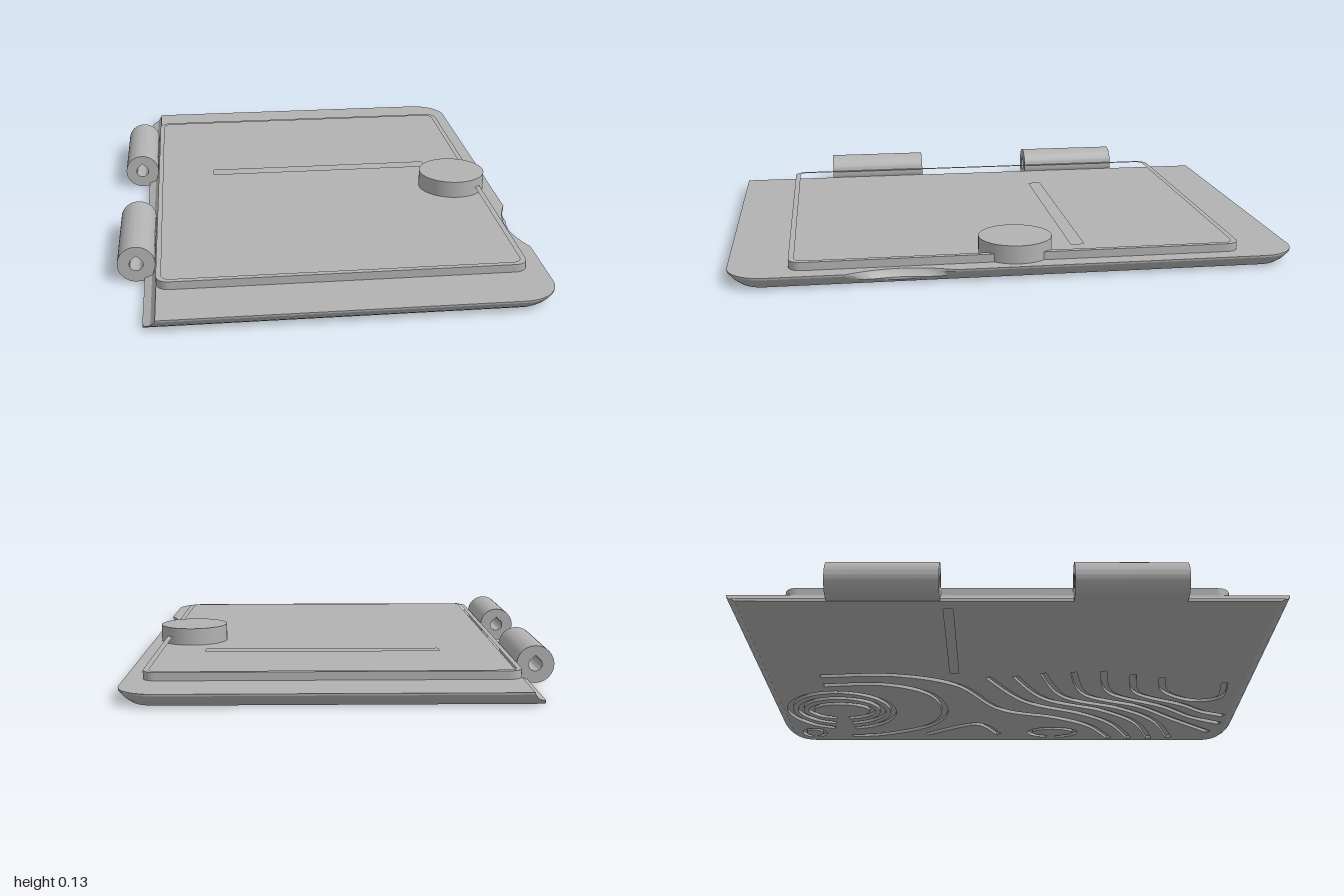
import * as THREE from 'three';
import { toCreasedNormals } from 'three/addons/utils/BufferGeometryUtils.js';

// Plan outline [x, z] for an edge inset, a left edge and a finger notch depth
function outline(inset, left, notchX) {
  const X = 0.738 - inset, Z = 1 - inset, r = 0.13 - inset, pts = [[left, -Z]];
  for (let i = 0; i <= 10; i++) {
    const a = (i / 10) * Math.PI / 2;
    pts.push([X - r + r * Math.sin(a), -Z + r - r * Math.cos(a)]);
  }
  for (let i = 0; i <= 16; i++) {
    const t = i / 8 - 1;
    pts.push([Math.min(X, notchX + 0.043 * t * t), 0.415 + 0.185 * t]);
  }
  for (let i = 0; i <= 10; i++) {
    const a = (i / 10) * Math.PI / 2;
    pts.push([X - r + r * Math.cos(a), Z - r + r * Math.sin(a)]);
  }
  pts.push([left, Z]);
  return pts;
}

const toVec = (pts) => pts.map(([x, z]) => new THREE.Vector2(x, -z));
const toShape = (pts) => new THREE.Shape(toVec(pts));

function roundedRect(x0, x1, z0, z1, r) {
  const pts = [];
  [[x1 - r, z1 - r], [x0 + r, z1 - r], [x0 + r, z0 + r], [x1 - r, z0 + r]].forEach(([cx, cz], k) => {
    for (let i = 0; i <= 6; i++) {
      const a = (k + i / 6) * Math.PI / 2;
      pts.push([cx + r * Math.cos(a), cz + r * Math.sin(a)]);
    }
  });
  return pts;
}

// Extrude a plan shape upward from y0 to y1
function slab(pts, y0, y1, holes = []) {
  const shape = toShape(pts);
  holes.forEach((h) => shape.holes.push(new THREE.Path(toVec(h))));
  const g = new THREE.ExtrudeGeometry(shape, { depth: y1 - y0, bevelEnabled: false, curveSegments: 8 });
  return g.rotateX(-Math.PI / 2).translate(0, y0, 0);
}

// Closed outline of a constant-width groove along a smooth line
function groove(points, width = 0.026) {
  const curve = new THREE.SplineCurve(points.map(([x, z]) => new THREE.Vector2(x, z)));
  const n = points.length * 7, a = [], b = [];
  for (let i = 0; i <= n; i++) {
    const p = curve.getPoint(i / n), t = curve.getTangent(i / n);
    a.push([p.x - t.y * width / 2, p.y + t.x * width / 2]);
    b.unshift([p.x + t.y * width / 2, p.y - t.x * width / 2]);
  }
  return a.concat(b);
}

function ringGroove(cx, cz, rx, rz, width) {
  const pts = [];
  for (let i = 0; i <= 14; i++) {
    const a = 0.15 + (i / 14) * (Math.PI * 2 - 0.4);
    pts.push([cx + rx * Math.cos(a), cz + rz * Math.sin(a)]);
  }
  return groove(pts, width);
}

// Side wall skinned through outlines at rising heights
function loft(levels) {
  const pos = [], idx = [], n = levels[0].pts.length;
  levels.forEach(({ y, pts }) => pts.forEach(([x, z]) => pos.push(x, y, z)));
  for (let l = 0; l < levels.length - 1; l++) {
    for (let i = 0; i < n; i++) {
      const j = (i + 1) % n, a = l * n + i, b = l * n + j;
      idx.push(a, b + n, b, a, a + n, b + n);
    }
  }
  const g = new THREE.BufferGeometry();
  g.setAttribute('position', new THREE.Float32BufferAttribute(pos, 3));
  g.setIndex(idx);
  return toCreasedNormals(g, 0.5);
}

export function createModel() {
  const model = new THREE.Group();
  const grey = new THREE.MeshStandardMaterial({ color: 0xb2b2b2 });
  const add = (name, geo) => {
    const m = new THREE.Mesh(geo, grey);
    m.name = name;
    model.add(m);
    return m;
  };

  // Cover edge: undercut outside, hollowed beside the hinge
  const levels = [
    [0, 0.045, -0.648, 0.74], [0.013, 0.026, -0.645, 0.722], [0.022, 0.016, -0.622, 0.712],
    [0.04, 0.001, -0.608, 0.697], [0.047, 0, -0.606, 0.695],
  ].map(([y, inset, left, notch]) => ({ y, pts: outline(inset, left, notch) }));
  add('coverEdge', loft(levels));

  // Underside with flowing contour grooves
  const lines = [
    [[0.08, -0.75], [0.07, -0.5], [0.17, -0.32], [0.36, -0.27], [0.52, -0.35], [0.62, -0.55], [0.64, -0.7]],
    [[-0.01, -0.75], [-0.02, -0.45], [0.08, -0.2], [0.33, -0.03], [0.42, 0.2], [0.52, 0.36], [0.67, 0.46]],
    [[0, -0.08], [0.25, 0.08], [0.38, 0.32], [0.5, 0.46], [0.67, 0.55]],
    [[-0.01, 0.03], [0.22, 0.16], [0.34, 0.4], [0.48, 0.56], [0.67, 0.64]],
    [[-0.04, 0.14], [0.2, 0.24], [0.32, 0.48], [0.46, 0.64], [0.66, 0.73]],
    [[-0.05, 0.26], [0.18, 0.33], [0.3, 0.56], [0.44, 0.72], [0.59, 0.9]],
    [[-0.06, 0.38], [0.16, 0.43], [0.3, 0.66], [0.42, 0.8], [0.49, 0.935]],
    [[-0.03, 0.5], [0.16, 0.54], [0.28, 0.74], [0.36, 0.84], [0.4, 0.935]],
    [[0, 0.62], [0.14, 0.65], [0.23, 0.77], [0.2, 0.88], [0.05, 0.88]],
    [[0.62, -0.36], [0.5, -0.14], [0.62, -0.04]],
  ];
  const grooves = lines.map((l) => groove(l));
  [[0.08, 0.13], [0.14, 0.175], [0.2, 0.22]].forEach(([rx, rz]) => grooves.push(ringGroove(0.35, -0.71, rx, rz, 0.024)));
  grooves.push(ringGroove(0.6, 0.2, 0.05, 0.1, 0.022), ringGroove(0.605, -0.865, 0.045, 0.045, 0.018));
  grooves.push(roundedRect(-0.59, -0.04, -0.23, -0.195, 0.005));
  add('underside', slab(levels[0].pts, 0, 0.013, grooves));

  // Core between the underside grooves and the top slot
  add('core', slab(outline(0.045, -0.607, 0.68), 0.013, 0.032));

  // Top face around the tray, and the tray floor with its slot
  const inner = roundedRect(-0.588, 0.655, -0.777, 0.772, 0.03);
  const border = toShape(levels[4].pts);
  border.holes.push(new THREE.Path(toVec(inner)));
  add('topFace', new THREE.ShapeGeometry(border).rotateX(-Math.PI / 2).translate(0, 0.047, 0));
  add('trayFloor', slab(inner, 0.032, 0.047, [roundedRect(-0.38, 0.512, -0.265, -0.217, 0.006)]));

  // Raised rim
  add('rim', slab(roundedRect(-0.606, 0.675, -0.797, 0.792, 0.045), 0.047, 0.076, [inner]));

  // Round latch boss
  const boss = add('latchBoss', new THREE.CylinderGeometry(0.13, 0.13, 0.067, 64));
  boss.position.set(0.578, 0.0785, 0);

  // Hinge barrels with teardrop bores
  for (const zMid of [-0.437, 0.43]) {
    const ring = new THREE.Shape().absarc(0, 0, 0.066, 0, Math.PI * 2);
    const bore = new THREE.Path();
    bore.absarc(0, 0, 0.024, Math.PI * 0.8, Math.PI * 2.2);
    bore.lineTo(0, 0.032);
    bore.closePath();
    ring.holes.push(bore);
    const geo = new THREE.ExtrudeGeometry(ring, { depth: 0.398, bevelEnabled: false, curveSegments: 32 });
    const barrel = add('hingeBarrel', toCreasedNormals(geo, 0.5));
    barrel.position.set(-0.675, 0.066, zMid - 0.199);
    const web = add('hingeWeb', new THREE.BoxGeometry(0.075, 0.032, 0.398));
    web.position.set(-0.6375, 0.0165, zMid);
  }
  return model;
}
